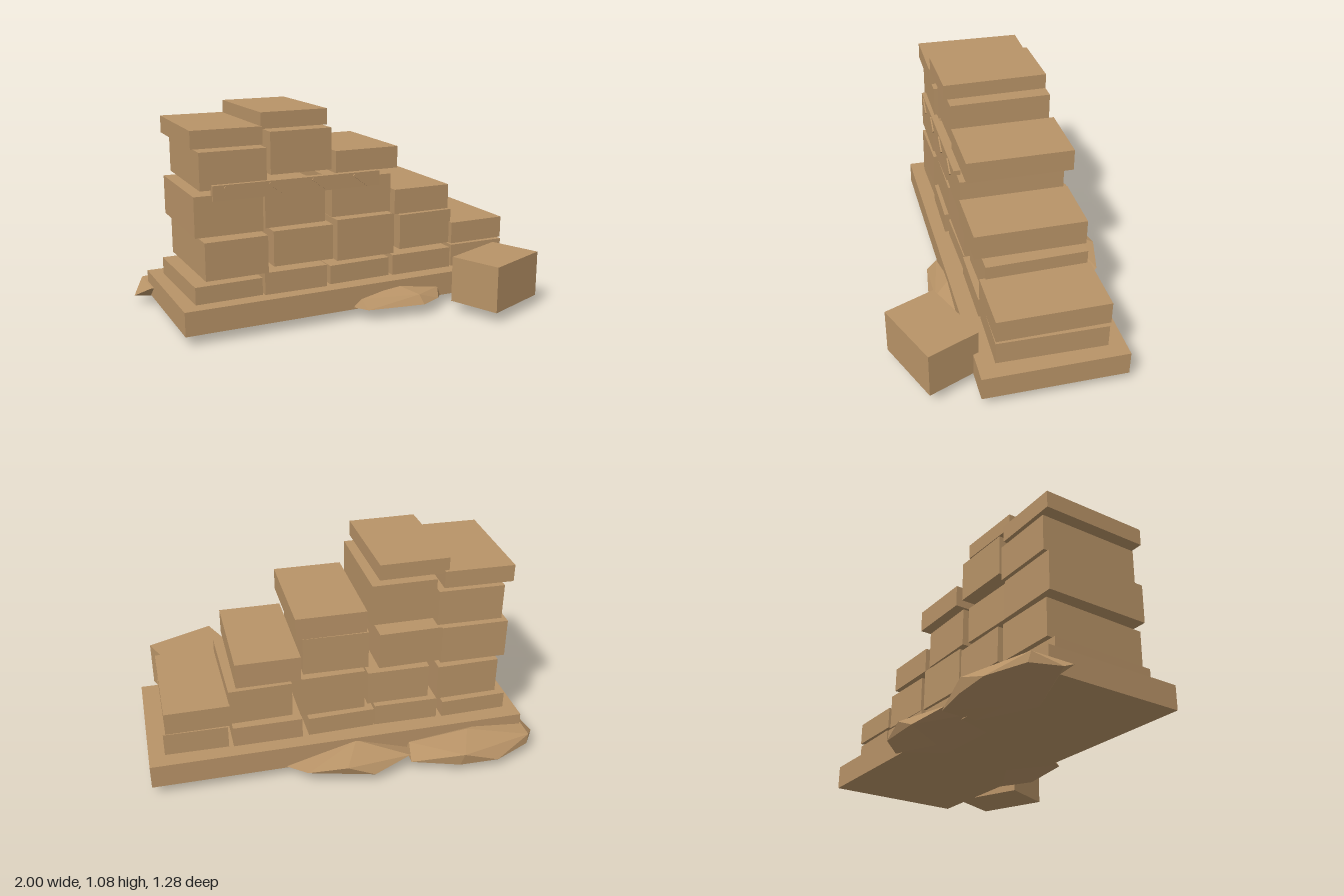
import * as THREE from 'three';
import { ConvexGeometry } from 'three/addons/geometries/ConvexGeometry.js';

const stone = new THREE.MeshStandardMaterial({ color: 0xb89367 });
stone.name = 'sandstone';

// Box given by its extents; turn is a slight yaw that stays inside them
function block(name, x0, x1, y0, y1, z0, z1, turn = 0) {
  const t = Math.abs(turn), w = x1 - x0, d = z1 - z0;
  const mesh = new THREE.Mesh(new THREE.BoxGeometry(w - d * t, y1 - y0, d - w * t), stone);
  mesh.position.set((x0 + x1) / 2, (y0 + y1) / 2, (z0 + z1) / 2);
  mesh.rotation.y = turn;
  mesh.name = name;
  return mesh;
}

// Faceted mound of sand or rubble around a few corner points
function mound(name, points) {
  const geo = new ConvexGeometry(points.map(p => new THREE.Vector3(...p)));
  const mesh = new THREE.Mesh(geo, stone);
  mesh.name = name;
  return mesh;
}

export function createModel() {
  const model = new THREE.Group();
  model.name = 'ruinedWall';

  model.add(block('baseSlab', -0.92, 1, 0.05, 0.172, -0.455, 0.265));

  // Courses from the bottom up: x0, x1, y0, y1, z0, z1, turn
  const courses = [
    [[-0.855, -0.5, 0.17, 0.26, -0.375, 0.19, 0.02], [-0.49, -0.15, 0.17, 0.285, -0.37, 0.197, -0.015],
      [-0.145, 0.21, 0.17, 0.27, -0.375, 0.18, 0.025], [0.23, 0.58, 0.17, 0.28, -0.38, 0.18, 0],
      [0.595, 0.92, 0.17, 0.29, -0.375, 0.178, -0.015]],
    [[-0.8, -0.47, 0.285, 0.475, -0.37, 0.197, 0.015], [-0.435, -0.11, 0.307, 0.487, -0.365, 0.18, -0.01],
      [-0.095, 0.24, 0.29, 0.505, -0.365, 0.175, 0.01], [0.275, 0.6, 0.3, 0.485, -0.365, 0.155, 0.02],
      [0.588, 0.91, 0.3, 0.415, -0.38, 0.178, 0.005]],
    [[-0.835, -0.487, 0.5, 0.7, -0.37, 0.19, -0.01], [-0.488, -0.16, 0.51, 0.7, -0.36, 0.185, 0.015],
      [-0.122, 0.217, 0.525, 0.722, -0.357, 0.185, -0.018], [0.23, 0.552, 0.505, 0.635, -0.367, 0.193, 0]],
    [[-0.8, -0.458, 0.722, 0.905, -0.37, 0.18, -0.015], [-0.443, -0.115, 0.767, 0.977, -0.37, 0.162, 0.008],
      [-0.092, 0.258, 0.745, 0.857, -0.387, 0.162, 0]],
    [[-0.843, -0.48, 0.925, 1.012, -0.375, 0.197, -0.018], [-0.505, -0.15, 0.998, 1.077, -0.357, 0.19, 0.015]],
  ];
  courses.forEach((course, i) => {
    const group = new THREE.Group();
    group.name = `blockCourse${i + 1}`;
    for (const b of course) group.add(block('wallBlock', ...b));
    model.add(group);
  });

  // Frieze plank on the front with slanted carved marks
  model.add(block('frieze', -0.745, 0.135, 0.672, 0.747, 0.165, 0.2));
  for (let i = 0; i < 4; i++) {
    const x = -0.65 + i * 0.225;
    const mark = block('friezeMark', x - 0.045, x + 0.045, 0.704, 0.716, 0.199, 0.207);
    mark.rotation.z = -0.65;
    model.add(mark);
  }

  // Fallen block resting beside the front corner
  const fallen = new THREE.Mesh(new THREE.BoxGeometry(0.378, 0.24, 0.277), stone);
  fallen.position.set(0.7, 0.175, 0.436);
  fallen.rotation.y = 0.392;
  fallen.name = 'fallenBlock';
  model.add(fallen);

  // Mounds against the slab
  model.add(mound('backRightMound', [
    [-1, 0.045, -0.44], [-0.93, 0.11, -0.55], [-0.92, 0.06, -0.56], [-0.73, 0.05, -0.64],
    [-0.55, 0.11, -0.64], [-0.53, 0.045, -0.63], [-0.29, 0.06, -0.57], [-0.31, 0.1, -0.46],
    [-0.62, 0.14, -0.47], [-0.93, 0.11, -0.33], [-0.6, 0.012, -0.44], [-0.6, 0.05, -0.26],
    [-0.3, 0.05, -0.4],
  ]));
  model.add(mound('backMiddleMound', [
    [-0.32, 0.06, -0.45], [-0.29, 0.09, -0.55], [-0.09, 0.05, -0.61], [0.05, 0.11, -0.605],
    [0.24, 0.08, -0.56], [0.33, 0.06, -0.46], [-0.03, 0.155, -0.45], [-0.04, 0, -0.44],
    [-0.2, 0.05, -0.27], [0.15, 0.05, -0.27],
  ]));
  model.add(mound('frontMound', [
    [-0.04, 0.06, 0.26], [0, 0.105, 0.28], [0.01, 0.06, 0.335], [0.22, 0.14, 0.255],
    [0.31, 0.06, 0.38], [0.3, 0.105, 0.345], [0.42, 0.065, 0.335], [0.46, 0.1, 0.26],
    [0.47, 0.055, 0.27], [0.22, 0.024, 0.25], [0.2, 0.05, 0.13],
  ]));

  return model;
}
